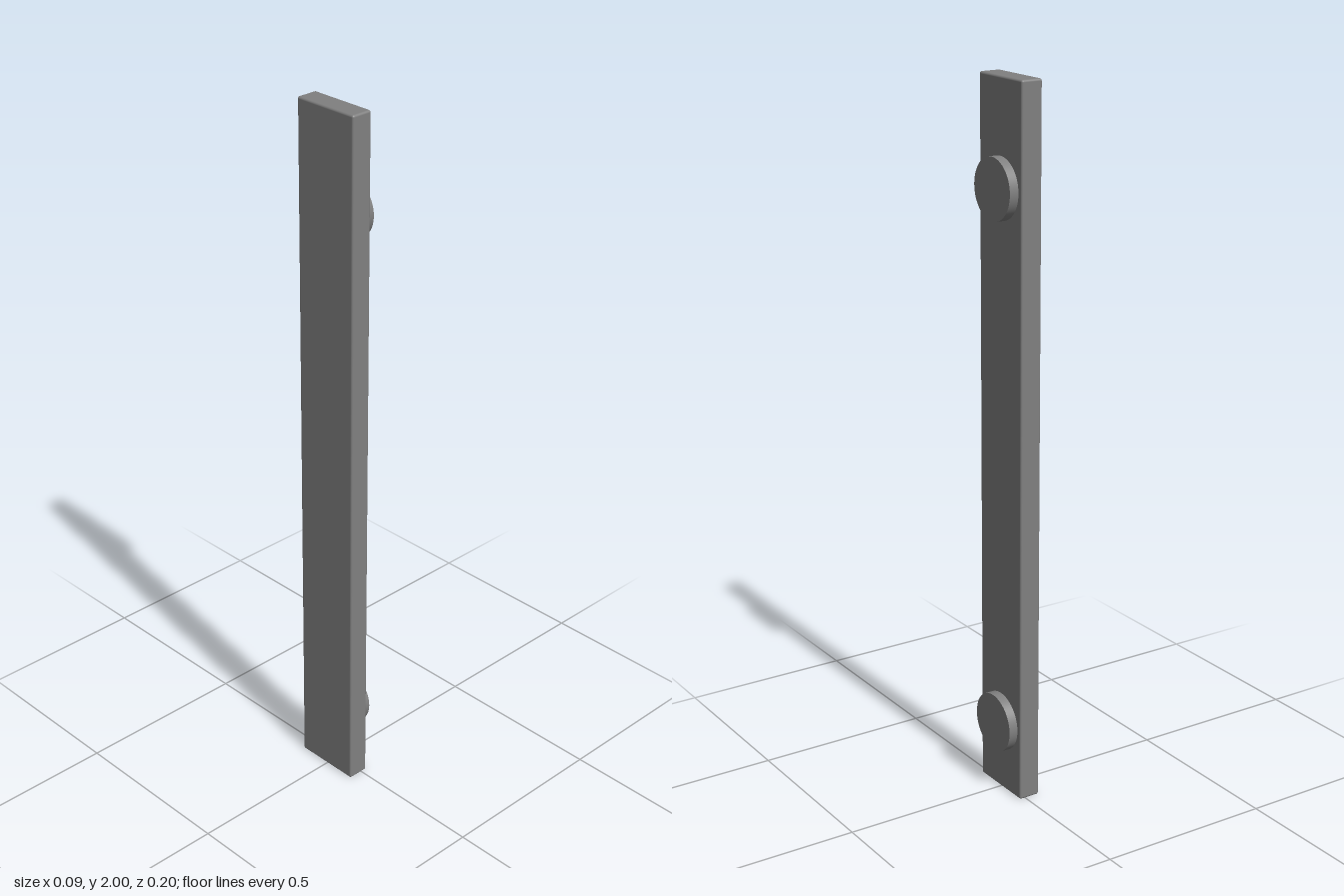
import * as THREE from 'three';
import { RoundedBoxGeometry } from 'three/addons/geometries/RoundedBoxGeometry.js';

export function createModel() {
  const group = new THREE.Group();
  const material = new THREE.MeshStandardMaterial({ color: 0x808080 });

  // Tall flat board with slightly softened edges
  const board = new THREE.Mesh(new RoundedBoxGeometry(0.062, 2, 0.198, 3, 0.006), material);
  board.name = 'board';
  board.position.set(-0.013, 1, 0);
  group.add(board);

  // Round pads on the +x face, sunk slightly into the board
  const padGeometry = new THREE.CylinderGeometry(0.084, 0.084, 0.032, 64).rotateZ(-Math.PI / 2);
  for (const [name, y] of [['lowerPad', 0.206], ['upperPad', 1.713]]) {
    const pad = new THREE.Mesh(padGeometry, material);
    pad.name = name;
    pad.position.set(0.028, y, 0);
    group.add(pad);
  }
  return group;
}
